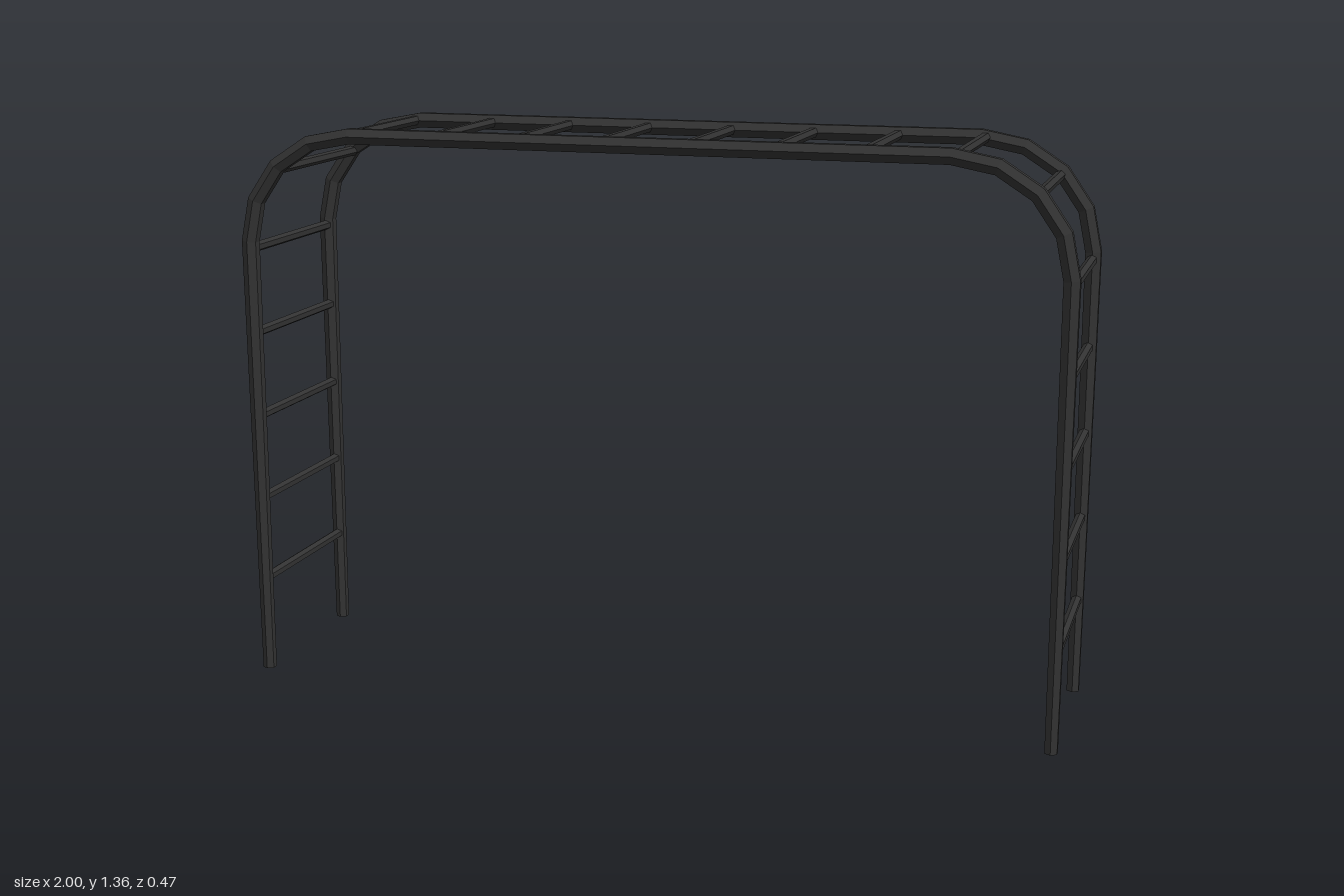
import * as THREE from 'three';

const SIDES = 6;
const RAIL_Z = 0.212, HALF_W = 0.982, TOP_Y = 1.344;
const BEND_X = 0.27, BEND_Y = 0.26, BEND_STEPS = 4;

const material = new THREE.MeshStandardMaterial({ color: 0x333333, flatShading: true });

// Point on the rounded corner: t = 0 at the top of the leg, 1 at the end of the top bar
function bendPoint(t) {
  const a = t * Math.PI / 2;
  return new THREE.Vector2(
    HALF_W - BEND_X + BEND_X * Math.cos(a),
    TOP_Y - BEND_Y + BEND_Y * Math.sin(a));
}

// Hexagonal pipe swept along a flat path with mitred joints; each point carries its radius
function sweepPipe(path) {
  const positions = [], index = [];
  const last = path.length - 1;
  path.forEach(({ p, r }, i) => {
    const before = p.clone().sub(path[Math.max(i - 1, 0)].p).normalize();
    const after = path[Math.min(i + 1, last)].p.clone().sub(p).normalize();
    const tangent = before.clone().add(after).normalize();
    const miter = 1 / Math.max(tangent.dot(i < last ? after : before), 0.5);
    for (let k = 0; k < SIDES; k++) {
      const a = Math.PI / 2 + k / SIDES * Math.PI * 2;
      const c = Math.cos(a) * r * miter;
      positions.push(p.x - tangent.y * c, p.y + tangent.x * c, Math.sin(a) * r);
    }
  });
  for (let i = 0; i < last; i++) {
    for (let k = 0; k < SIDES; k++) {
      const a = i * SIDES + k, b = i * SIDES + (k + 1) % SIDES;
      index.push(a, b, b + SIDES, a, b + SIDES, a + SIDES);
    }
  }
  // End caps
  const e = last * SIDES;
  for (let k = 1; k < SIDES - 1; k++) index.push(0, k + 1, k, e, e + k, e + k + 1);

  const geometry = new THREE.BufferGeometry();
  geometry.setAttribute('position', new THREE.Float32BufferAttribute(positions, 3));
  geometry.setIndex(index);
  const flat = geometry.toNonIndexed();
  flat.computeVertexNormals();
  return flat;
}

export function createModel() {
  const group = new THREE.Group();
  group.name = 'monkeyBars';

  // Side rails: leg, rounded corner, top bar, mirrored corner and leg
  const half = [{ p: new THREE.Vector2(HALF_W - 0.002, 0), r: 0.0165 }];
  for (let i = 0; i <= BEND_STEPS; i++) half.push({ p: bendPoint(i / BEND_STEPS), r: 0.021 });
  const mirrored = half.map(({ p, r }) => ({ p: new THREE.Vector2(-p.x, p.y), r })).reverse();
  const railGeometry = sweepPipe([...half, ...mirrored]);
  for (const side of [1, -1]) {
    const rail = new THREE.Mesh(railGeometry, material);
    rail.name = side > 0 ? 'frontRail' : 'backRail';
    rail.position.z = side * RAIL_Z;
    group.add(rail);
  }

  // Rungs, spaced up each leg, round the corner and along the top
  const rungGeometry = new THREE.CylinderGeometry(0.0125, 0.0125, RAIL_Z * 2, SIDES);
  rungGeometry.rotateX(Math.PI / 2);
  const addRung = (name, x, y, turn) => {
    const rung = new THREE.Mesh(rungGeometry, material);
    rung.name = name;
    rung.position.set(x, y, 0);
    rung.rotation.z = turn;
    group.add(rung);
  };
  const corner = bendPoint(0.5);
  for (const side of [1, -1]) {
    for (let i = 0; i < 5; i++) addRung('ladderRung', side * (HALF_W - 0.002), 0.235 + i * 0.208, 0);
    addRung('cornerRung', side * (corner.x - 0.004), corner.y - 0.006, side * Math.PI / 4);
    for (const x of [0.105, 0.31, 0.515, 0.722]) addRung('topRung', side * x, TOP_Y, Math.PI / 2);
  }
  return group;
}
